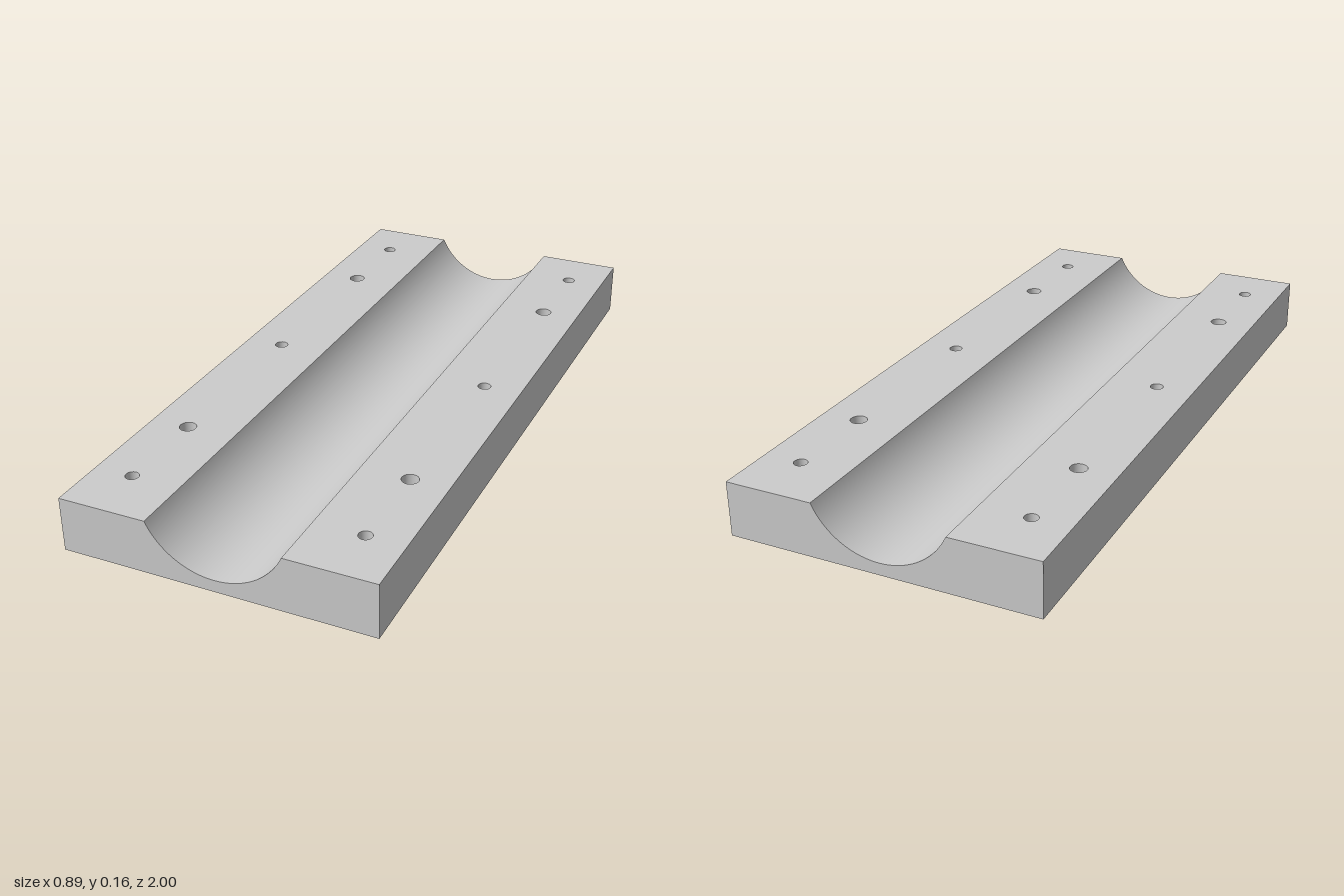
import * as THREE from 'three';

const W = 0.444, H = 0.157, L = 2;              // half width, height, length
const GROOVE = 0.19, FLOOR = 0.035;             // groove half width, lowest point
const DEPTH = H - FLOOR;
const R = (GROOVE ** 2 + DEPTH ** 2) / (2 * DEPTH);
const ARC = Math.asin(GROOVE / R);              // half angle of the groove
const HOLE_X = 0.333;
const HOLES = [[-0.833, 0.019], [-0.555, 0.024], [0, 0.019], [0.555, 0.024], [0.833, 0.019]];

// Rectangle along the whole length, with a row of holes at each given x
function plate(x0, x1, rows) {
  const s = new THREE.Shape();
  s.moveTo(x0, -L / 2).lineTo(x1, -L / 2).lineTo(x1, L / 2).lineTo(x0, L / 2).closePath();
  for (const x of rows) for (const [z, r] of HOLES) {
    s.holes.push(new THREE.Path().absarc(x, z, r, 0, Math.PI * 2, true));
  }
  return new THREE.ShapeGeometry(s, 16);
}

// Turn a surface inside out
function inward(geo) {
  geo.index.array.reverse();
  const n = geo.attributes.normal;
  for (let i = 0; i < n.array.length; i++) n.array[i] *= -1;
  return geo;
}

export function createModel() {
  const group = new THREE.Group();
  group.name = 'groovedBlock';
  const mat = new THREE.MeshStandardMaterial({ color: 0xcccccc, side: THREE.DoubleSide });
  const add = (name, geo) => {
    const mesh = new THREE.Mesh(geo, mat);
    mesh.name = name;
    group.add(mesh);
    return mesh;
  };

  // Underside with all holes
  add('bottomFace', plate(-W, W, [-HOLE_X, HOLE_X]).rotateX(Math.PI / 2));

  // Half-round groove along the length
  add('groove', inward(new THREE.CylinderGeometry(R, R, L, 48, 1, true, -ARC, 2 * ARC)
    .rotateX(Math.PI / 2))).position.y = FLOOR + R;

  // End faces with the groove cut out
  const profile = new THREE.Shape();
  profile.moveTo(-W, 0).lineTo(W, 0).lineTo(W, H);
  profile.absarc(0, FLOOR + R, R, -Math.PI / 2 + ARC, -Math.PI / 2 - ARC, true);
  profile.lineTo(-W, H).closePath();
  const end = new THREE.ShapeGeometry(profile, 24);
  add('frontFace', end).position.z = L / 2;
  add('backFace', end.clone().rotateY(Math.PI)).position.z = -L / 2;

  for (const [side, k] of [['left', 1], ['right', -1]]) {
    // Flat top beside the groove
    const [x0, x1] = k > 0 ? [GROOVE, W] : [-W, -GROOVE];
    add(side + 'Top', plate(x0, x1, [k * HOLE_X]).rotateX(-Math.PI / 2)).position.y = H;

    // Outer wall
    add(side + 'Wall', new THREE.PlaneGeometry(L, H).rotateY(k * Math.PI / 2))
      .position.set(k * W, H / 2, 0);

    // Walls of the through holes
    for (const [z, r] of HOLES) {
      add(side + 'ScrewHole', inward(new THREE.CylinderGeometry(r, r, H, 32, 1, true)))
        .position.set(k * HOLE_X, H / 2, z);
    }
  }
  return group;
}
